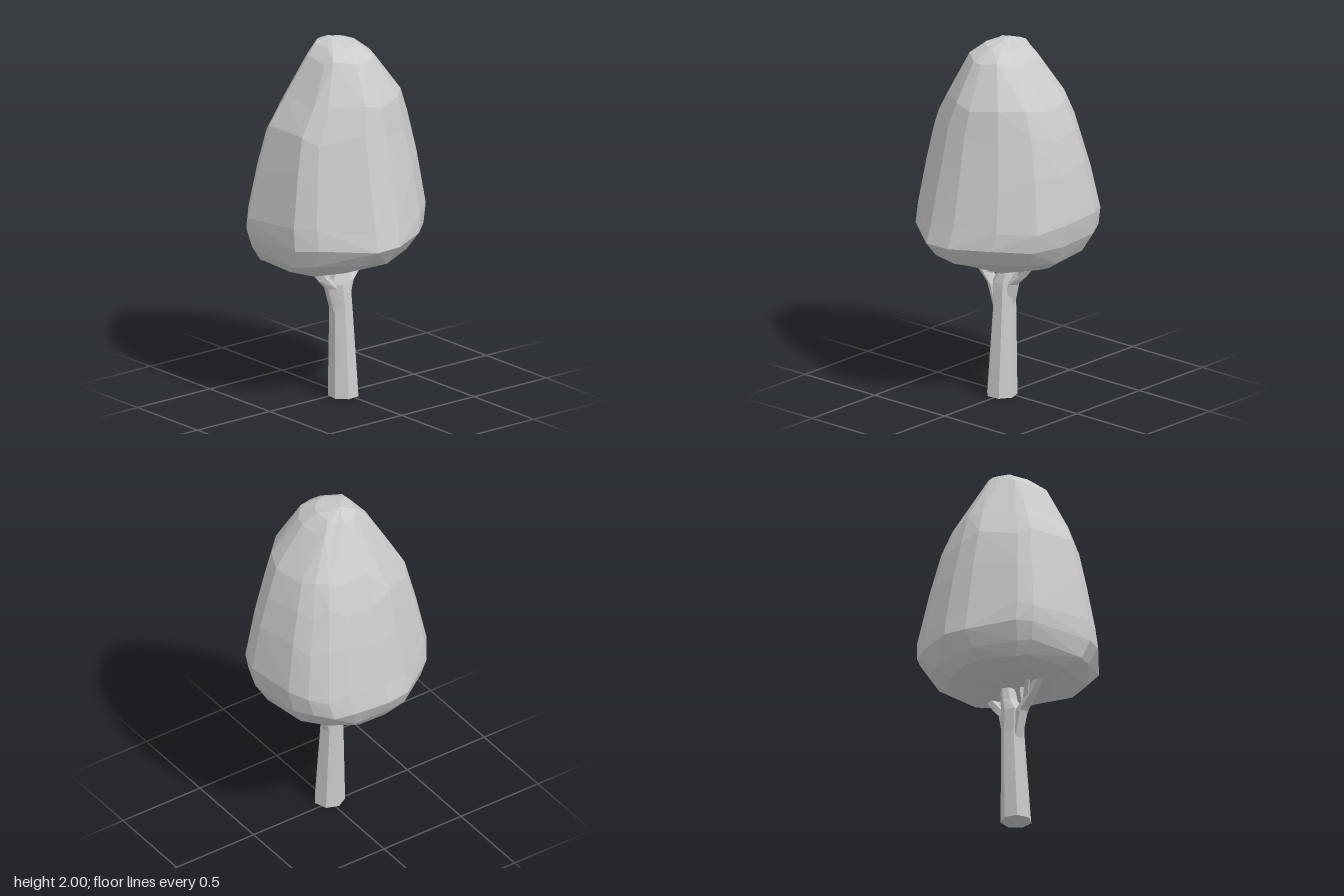
import * as THREE from 'three';

const material = new THREE.MeshStandardMaterial({ color: 0xcccccc, flatShading: true });

const average = (ring) =>
  ring.reduce((sum, p) => sum.add(p), new THREE.Vector3()).divideScalar(ring.length);

// Skins a stack of equal-length rings (bottom to top) and closes both ends with fans.
function loft(name, rings, bottom = average(rings[0]), top = average(rings.at(-1))) {
  const n = rings[0].length;
  const last = (rings.length - 1) * n;
  const points = [...rings.flat(), bottom, top];
  const index = [];
  const e1 = new THREE.Vector3(), e2 = new THREE.Vector3(), e3 = new THREE.Vector3();
  for (let j = 0; j < n; j++) {
    const next = (j + 1) % n;
    for (let i = 0; i < last; i += n) {
      const a = i + j, b = i + next, c = a + n, d = b + n;
      // Split each quad along the diagonal that bulges outwards
      e1.subVectors(points[c], points[a]);
      e2.subVectors(points[b], points[a]);
      e3.subVectors(points[d], points[a]);
      if (e1.cross(e2).dot(e3) < 0) index.push(a, c, b, b, c, d);
      else index.push(a, c, d, a, d, b);
    }
    index.push(j, next, last + n, last + j, last + n + 1, last + next);
  }
  const geometry = new THREE.BufferGeometry().setFromPoints(points);
  geometry.setIndex(index);
  const flat = geometry.toNonIndexed();
  flat.computeVertexNormals();
  const mesh = new THREE.Mesh(flat, material);
  mesh.name = name;
  return mesh;
}

// Widest outline of the crown (x, z), walked from +x towards +z
const OUTLINE = [
  [0.48, 0.06], [0.405, 0.225], [0.245, 0.38], [0.02, 0.48], [-0.14, 0.48],
  [-0.40, 0.29], [-0.475, 0.18], [-0.48, -0.21], [-0.43, -0.285],
  [-0.185, -0.445], [-0.04, -0.48], [0.18, -0.455], [0.29, -0.42],
  [0.375, -0.345], [0.435, -0.235],
];

// Crown levels: y, min x, max x, min z, max z, roundness, unevenness in height
const LEVELS = [
  [0.74, -0.32, 0.21, -0.24, 0.18, 0.6, 0.008],
  [0.775, -0.415, 0.28, -0.37, 0.25, 0.5, 0.01],
  [0.84, -0.46, 0.385, -0.43, 0.40, 0.3, 0.01],
  [0.94, -0.478, 0.45, -0.48, 0.48, 0, 0.008],
  [1.05, -0.48, 0.48, -0.46, 0.455, 0, 0.02],
  [1.32, -0.442, 0.435, -0.41, 0.40, 0.3, 0.03],
  [1.53, -0.40, 0.38, -0.36, 0.355, 0.5, 0.03],
  [1.69, -0.315, 0.32, -0.30, 0.32, 0.7, 0.015],
  [1.91, -0.195, 0.16, -0.175, 0.20, 0.9, 0.012],
  [1.97, -0.13, 0.085, -0.14, 0.105, 1, 0.004],
];

function crown() {
  const rings = LEVELS.map(([y, x0, x1, z0, z1, round, uneven], i) =>
    OUTLINE.map(([x, z], j) => {
      const angle = Math.atan2(z, x);
      const u = THREE.MathUtils.lerp(x / 0.48, Math.cos(angle), round);
      const v = THREE.MathUtils.lerp(z / 0.48, Math.sin(angle), round);
      const wave = Math.sin(i * 5.1 + j * 2.3);
      // Points that rise also draw in a little, keeping the slope even
      const draw = 1 - uneven * 0.5 * (wave + 0.6);
      return new THREE.Vector3(
        (x0 + x1) / 2 + u * draw * (x1 - x0) / 2,
        y + uneven * wave,
        (z0 + z1) / 2 + v * draw * (z1 - z0) / 2,
      );
    }));
  return loft('crown', rings, new THREE.Vector3(-0.02, 0.77, -0.02),
    new THREE.Vector3(-0.03, 2, -0.05));
}

// Tapered limb through stations of [x, y, z, radius x, radius z]
function limb(name, sides, stations) {
  return loft(name, stations.map(([x, y, z, rx, rz]) =>
    Array.from({ length: sides }, (_, j) => {
      const a = (j + 0.15) / sides * Math.PI * 2;
      return new THREE.Vector3(x + rx * Math.cos(a), y, z + rz * Math.sin(a));
    })));
}

export function createModel() {
  const tree = new THREE.Group();
  tree.name = 'tree';
  tree.add(crown());

  // Trunk leans gently back as it rises
  tree.add(limb('trunk', 7, [
    [-0.013, 0, 0.03, 0.085, 0.084],
    [-0.013, 0.5, 0.009, 0.063, 0.065],
    [-0.02, 0.63, 0.003, 0.068, 0.06],
    [-0.002, 0.70, -0.005, 0.044, 0.048],
    [0.012, 0.80, -0.01, 0.036, 0.042],
  ]));

  // Main forks on both sides
  tree.add(limb('rightBranch', 5, [
    [-0.045, 0.46, 0.01, 0.03, 0.035],
    [-0.082, 0.61, 0.012, 0.04, 0.04],
    [-0.15, 0.68, 0.018, 0.045, 0.028],
    [-0.25, 0.79, 0.025, 0.032, 0.022],
  ]));
  tree.add(limb('leftBranch', 5, [
    [0.015, 0.50, 0, 0.03, 0.035],
    [0.04, 0.63, 0, 0.038, 0.038],
    [0.10, 0.69, -0.005, 0.04, 0.028],
    [0.19, 0.79, -0.01, 0.028, 0.02],
  ]));

  // Thin twigs splitting off the forks
  const twigs = [
    ['rightTwig', [-0.11, 0.65, 0.015], [-0.07, 0.79, 0.025]],
    ['rightOuterTwig', [-0.13, 0.67, 0.01], [-0.21, 0.79, -0.04]],
    ['leftTwig', [0.08, 0.67, 0], [0.07, 0.79, 0.02]],
    ['leftOuterTwig', [0.09, 0.68, 0], [0.16, 0.79, 0.03]],
  ];
  for (const [name, from, to] of twigs) {
    tree.add(limb(name, 4, [[...from, 0.02, 0.02], [...to, 0.014, 0.014]]));
  }
  return tree;
}
